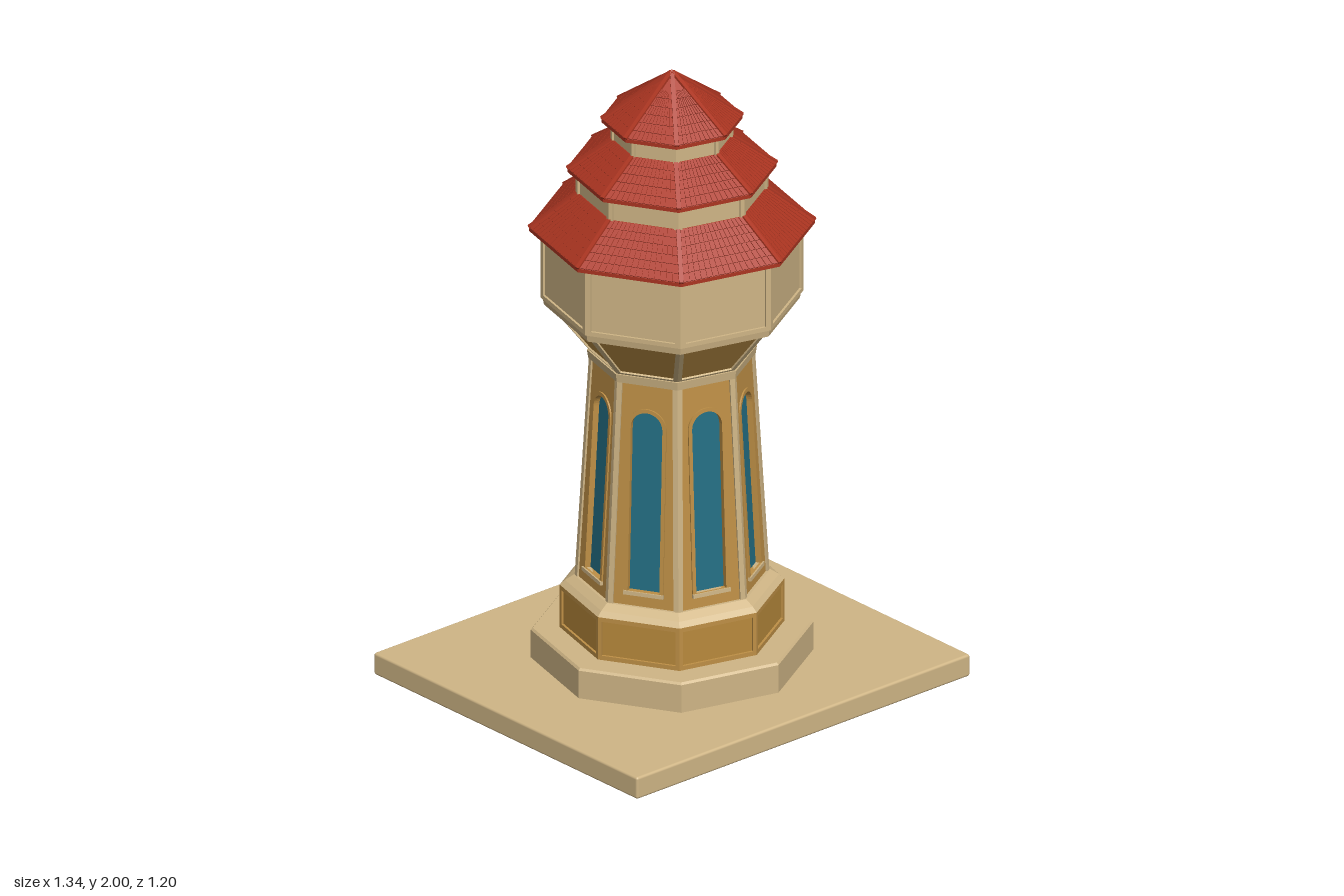
import * as THREE from 'three';
import { mergeGeometries } from 'three/addons/utils/BufferGeometryUtils.js';
import { RoundedBoxGeometry } from 'three/addons/geometries/RoundedBoxGeometry.js';

const N = 8, STEP = Math.PI * 2 / N, TURN = 0.128;
const COS = Math.cos(STEP / 2), SIN = Math.sin(STEP / 2);

const paint = (name, color) => {
  const m = new THREE.MeshStandardMaterial({ color });
  m.name = name;
  return m;
};

export function createModel() {
  const stone = paint('sandstone', 0xd0b686);
  const ochre = paint('ochre wall', 0xbf9046);
  const darkOchre = paint('dark ochre panel', 0xb98a3c);
  const glass = paint('teal glass', 0x246f84);
  const tile = paint('red roof tile', 0xac3521);
  const model = new THREE.Group();
  model.name = 'waterTower';

  const add = (parent, name, geometry, material) => {
    const mesh = new THREE.Mesh(geometry, material);
    mesh.name = name;
    parent.add(mesh);
    return mesh;
  };

  // Flat-sided octagonal frustum between two heights
  const octagon = (name, r0, y0, r1, y1, material) => {
    const g = new THREE.CylinderGeometry(r1, r0, y1 - y0, N).toNonIndexed();
    g.computeVertexNormals();
    const mesh = add(model, name, g, material);
    mesh.position.y = (y0 + y1) / 2;
    mesh.rotation.y = TURN;
  };

  // Runs build(group) on all eight faces; local x across, y up the face, z outward
  const onFaces = (name, r0, y0, r1, y1, build) => {
    for (let i = 0; i < N; i++) {
      const side = new THREE.Group(), plane = new THREE.Group();
      side.name = name;
      side.rotation.y = TURN + STEP * (i + 0.5);
      plane.position.set(0, y0, r0 * COS);
      plane.rotation.x = -Math.atan2((r0 - r1) * COS, y1 - y0);
      build(plane);
      side.add(plane);
      model.add(side);
    }
  };
  const slope = (r0, y0, r1, y1) => Math.hypot((r0 - r1) * COS, y1 - y0);

  const polygon = (pts, Kind = THREE.Shape) => new Kind(pts.map(p => new THREE.Vector2(...p)));
  // Trapezoid of a face with side, bottom and top margins
  const trapezoid = (r0, r1, len, m, mb, mt, Kind) => {
    const half = v => (r0 + (r1 - r0) * v / len) * SIN - m;
    const t = len - mt;
    return polygon([[-half(mb), mb], [half(mb), mb], [half(t), t], [-half(t), t]], Kind);
  };
  const arch = (w, bottom, spring, Kind = THREE.Shape) => {
    const s = new Kind();
    s.moveTo(-w, bottom);
    s.lineTo(w, bottom);
    s.lineTo(w, spring);
    s.absarc(0, spring, w, 0, Math.PI, false);
    s.lineTo(-w, bottom);
    return s;
  };
  // Slab of a shape running from z0 to z1
  const slab = (shape, z0, z1) => new THREE.ExtrudeGeometry(shape,
    { depth: z1 - z0, bevelEnabled: false, curveSegments: 10 }).translate(0, 0, z0);

  // Octagonal storey whose faces carry a frame around a recessed panel
  const framedStorey = (name, r0, y0, r1, y1, margin, mv, frameMat, panelMat) => {
    const len = slope(r0, y0, r1, y1), d = 0.008;
    octagon(name + 'Core', r0 - d, y0, r1 - d, y1, panelMat);
    const shape = trapezoid(r0, r1, len, 0, 0, 0);
    shape.holes.push(trapezoid(r0, r1, len, margin, mv, mv, THREE.Path));
    const g = slab(shape, -0.012, 0);
    onFaces(name + 'Frame', r0, y0, r1, y1, p => add(p, name + 'Frame', g, frameMat));
  };

  // Ground slab and plinth
  add(model, 'groundSlab', new RoundedBoxGeometry(1.335, 0.072, 1.195, 2, 0.008), stone).position.y = 0.036;
  octagon('plinth', 0.425, 0.07, 0.425, 0.163, stone);
  octagon('plinthEdge', 0.425, 0.163, 0.419, 0.17, stone);

  // Panelled foot
  framedStorey('foot', 0.338, 0.17, 0.338, 0.31, 0.012, 0.014, ochre, darkOchre);
  octagon('footLedge', 0.338, 0.31, 0.322, 0.325, stone);
  octagon('footCap', 0.322, 0.325, 0.296, 0.342, stone);

  // Tapered shaft: recessed glass behind arched openings, corner strips, sills
  const S = [0.293, 0.34, 0.25, 1.065], len = slope(...S);
  octagon('shaftCore', S[0] - 0.03, S[1], S[2] - 0.03, S[3], ochre);
  const wall = trapezoid(S[0], S[2], len, 0.008, 0, 0);
  wall.holes.push(arch(0.05, 0.05, 0.58, THREE.Path));
  const wallGeo = slab(wall, -0.027, -0.006);
  const glassGeo = slab(arch(0.053, 0.048, 0.58), -0.027, -0.02);
  const rim = arch(0.062, 0.05, 0.58);
  rim.holes.push(arch(0.05, 0.0501, 0.58, THREE.Path));
  const rimGeo = slab(rim, -0.008, -0.001);
  const strip = side => {
    const b = S[0] * SIN, t = S[2] * SIN, w = 0.016;
    const pts = [[b - w, 0], [b, 0], [t, len], [t - w, len]];
    return polygon(side > 0 ? pts : pts.map(([x, y]) => [-x, y]).reverse());
  };
  const stripGeo = mergeGeometries([slab(strip(1), -0.014, 0), slab(strip(-1), -0.014, 0)]);
  onFaces('shaftSide', ...S, p => {
    add(p, 'shaftWall', wallGeo, ochre);
    add(p, 'windowGlass', glassGeo, glass);
    add(p, 'windowSurround', rimGeo, ochre);
    add(p, 'cornerStrip', stripGeo, stone);
    add(p, 'windowSill', new THREE.BoxGeometry(0.126, 0.012, 0.028), stone).position.set(0, 0.044, -0.01);
  });
  octagon('shaftBand', 0.252, 1.058, 0.256, 1.085, stone);

  // Flared collar and tank storey
  framedStorey('collar', 0.25, 1.085, 0.372, 1.24, 0.014, 0.008, stone, ochre);
  octagon('collarBand', 0.385, 1.238, 0.39, 1.265, stone);
  framedStorey('tank', 0.396, 1.262, 0.396, 1.487, 0.018, 0.014, stone, stone);

  // Upper necks between the roofs
  framedStorey('lowerNeck', 0.29, 1.585, 0.29, 1.685, 0.014, 0.012, stone, stone);
  framedStorey('upperNeck', 0.185, 1.76, 0.185, 1.845, 0.01, 0.01, stone, stone);

  // Tiled roofs: eave, deck, rows of tiles and hip ridges
  const roof = (name, r0, y0, r1, y1, rows, cols) => {
    const l = slope(r0, y0, r1, y1), gap = 0.0012;
    octagon(name + 'Eave', r0, y0 - 0.012, r0, y0, tile);
    octagon(name + 'Deck', r0, y0, r1, y1, tile);
    const half = v => (r0 + (r1 - r0) * v / l) * SIN - 0.006;
    const tiles = [];
    for (let r = 0; r < rows; r++) {
      const a = l * r / rows + gap, b = l * (r + 1) / rows - gap;
      if (half(b) < 0.008) break;
      for (let c = 0; c < cols; c++) {
        const x = (v, k) => half(v) * (2 * k / cols - 1);
        const g = Math.min(gap, half(b) / cols * 0.3);
        tiles.push(slab(polygon([[x(a, c) + g, a], [x(a, c + 1) - g, a],
          [x(b, c + 1) - g, b], [x(b, c) + g, b]]), -0.001, 0.003));
      }
    }
    const tileGeo = mergeGeometries(tiles);
    onFaces(name + 'Tiles', r0, y0, r1, y1, p => add(p, name + 'Tiles', tileGeo, tile));
    const ridgeGeo = new THREE.BoxGeometry(0.013, Math.hypot(r0 - r1, y1 - y0), 0.012);
    for (let i = 0; i < N; i++) {
      const hip = new THREE.Group();
      hip.name = name + 'Hip';
      hip.rotation.y = TURN + STEP * i;
      const ridge = add(hip, name + 'Ridge', ridgeGeo, tile);
      ridge.position.set(0, (y0 + y1) / 2, (r0 + r1) / 2);
      ridge.rotation.x = -Math.atan2(r0 - r1, y1 - y0);
      model.add(hip);
    }
  };
  roof('lowerRoof', 0.43, 1.495, 0.285, 1.605, 6, 16);
  roof('middleRoof', 0.315, 1.687, 0.18, 1.778, 5, 13);
  roof('topRoof', 0.212, 1.848, 0.003, 1.995, 8, 10);

  return model;
}
